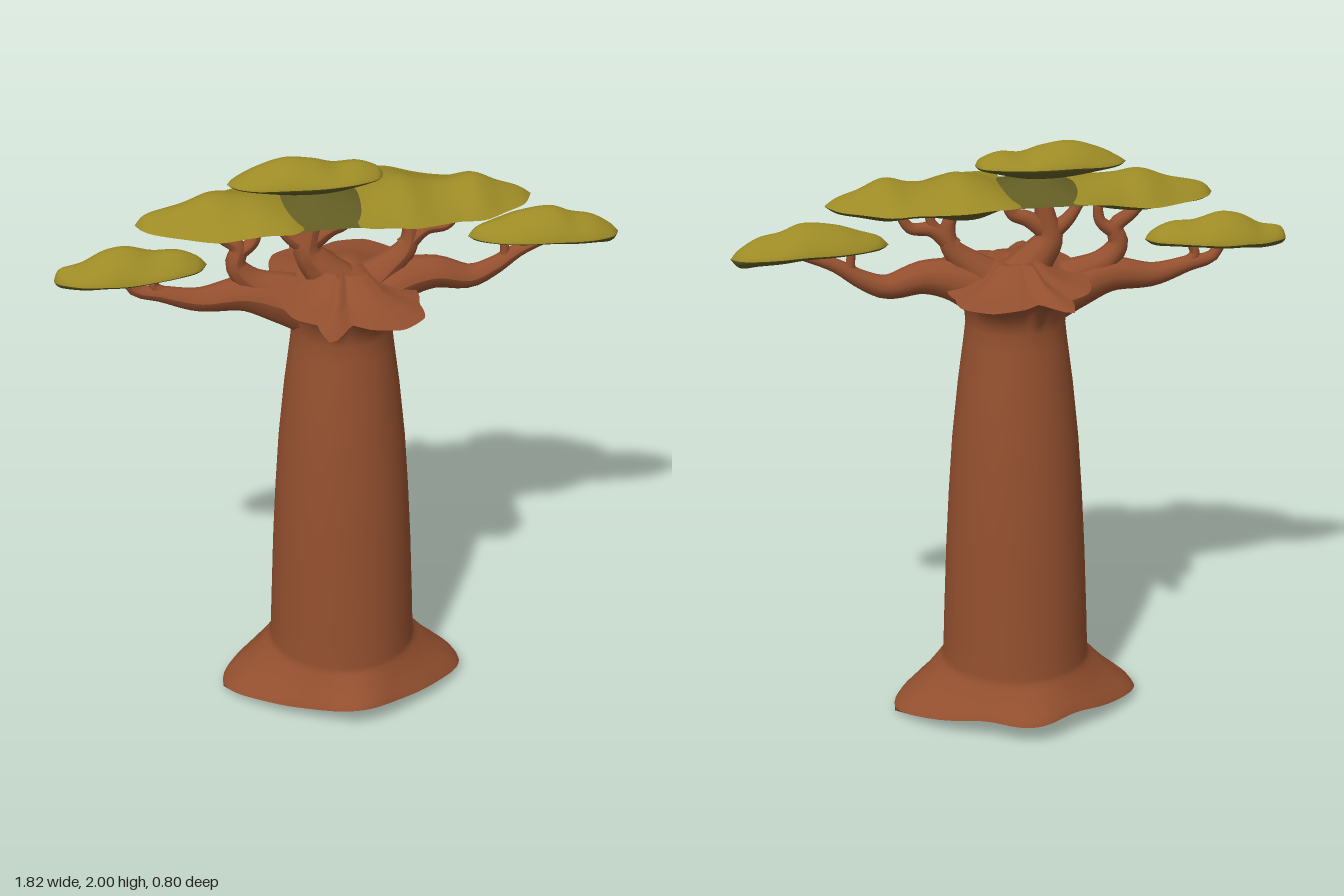
import * as THREE from 'three';

const { lerp } = THREE.MathUtils;
const mat = (name, color, side = THREE.FrontSide) => {
  const m = new THREE.MeshStandardMaterial({ color, side });
  m.name = name;
  return m;
};

// Surface through rows of points; closed rows wrap around
function skin(rows, closed, flip) {
  const n = rows[0].length, pos = rows.flat(2), index = [];
  for (let i = 0; i < rows.length - 1; i++) {
    for (let j = 0; j < (closed ? n : n - 1); j++) {
      const k = (j + 1) % n;
      const a = i * n + j, b = i * n + k, c = a + n, d = b + n;
      if (flip) index.push(a, c, b, b, c, d);
      else index.push(a, b, c, b, d, c);
    }
  }
  const g = new THREE.BufferGeometry();
  g.setAttribute('position', new THREE.Float32BufferAttribute(pos, 3));
  g.setIndex(index);
  g.computeVertexNormals();
  return g;
}

export function createModel() {
  const tree = new THREE.Group();
  tree.name = 'tree';
  const bark = mat('bark', 0x94502f);
  const leaf = mat('leafTop', 0x9c8a25);
  const shade = mat('leafUnderside', 0x625d23);
  const add = (name, geo, material, parent = tree) => {
    const m = new THREE.Mesh(geo, material);
    m.name = name;
    parent.add(m);
    return m;
  };

  // Ring around the trunk: f(angle) gives [x, y, z]
  const SEG = 120;
  const ring = (f) => Array.from({ length: SEG }, (_, i) => f((i / SEG) * Math.PI * 2));
  const polar = (r, y, t) => [r * Math.cos(t), y, r * Math.sin(t)];

  // Root flare: two long roots to the sides, broad lobes front and back
  const rootR = (t) => 0.325 + 0.115 * Math.abs(Math.cos(t)) ** 14 + 0.012 * Math.cos(6 * t + Math.PI);
  const rootY = (t) => 0.02 + 0.065 * Math.abs(Math.sin(t)) + 0.008 * Math.sin(5 * t) * Math.sin(t) ** 2;

  // Crown collar: pointed and rounded lobes, mirrored front to back
  const lobes = [[0, 0.22], [35, 0.27], [50, 0.34], [68, 0.365], [84, 0.33], [94, 0.29],
    [104, 0.425], [114, 0.31], [128, 0.305], [150, 0.25], [180, 0.22]];
  const collarR = (t) => {
    const d = THREE.MathUtils.radToDeg(Math.acos(THREE.MathUtils.clamp(Math.cos(t), -1, 1)));
    let i = 0;
    while (i < lobes.length - 2 && d > lobes[i + 1][0]) i++;
    const [a, ra] = lobes[i], [b, rb] = lobes[i + 1];
    return lerp(ra, rb, (d - a) / (b - a));
  };
  const collarY = (t) => 1.555 - 0.015 * Math.cos(t);

  // Underside keel
  const under = [0, 0.2, 0.4, 0.6, 0.8, 0.92, 1].map((s) => ring((t) => {
    const [x, y, z] = polar(rootR(t), rootY(t), t);
    return [x, y * (0.1 + 0.9 * s ** 1.6), z * s];
  }));
  add('rootUnderside', skin(under, true, true), bark);

  // Trunk from root rim to collar rim
  const trunk = [];
  for (const [k, h] of [[1, 0], [0.93, 0.1], [0.75, 0.26], [0.55, 0.42], [0.35, 0.62], [0.18, 0.8], [0.06, 0.93]]) {
    trunk.push(ring((t) => polar(lerp(0.25, rootR(t), k), lerp(rootY(t), 0.2, h), t)));
  }
  for (const [y, r] of [[0.21, 0.25], [0.3, 0.248], [0.6, 0.236], [0.8, 0.225], [1, 0.211],
    [1.2, 0.19], [1.35, 0.17], [1.41, 0.163]]) {
    trunk.push(ring((t) => polar(r, y, t)));
  }
  for (const [k, h] of [[0.04, 0.25], [0.14, 0.5], [0.28, 0.68], [0.5, 0.84], [0.75, 0.94], [1, 1]]) {
    trunk.push(ring((t) => polar(lerp(0.163, collarR(t), k), lerp(1.41, collarY(t), h), t)));
  }
  add('trunk', skin(trunk, true, true), bark);

  // Top of the collar
  const top = [[1, 0], [0.75, 0.012], [0.5, 0.03], [0.3, 0.07], [0.15, 0.06], [0, 0.05]].map(([s, up]) =>
    ring((t) => polar(collarR(t) * s, lerp(1.555, collarY(t), s) + up * (s > 0 ? 1 : 0.9), t)));
  add('crownTop', skin(top, true, true), bark);

  // Tapered branches: radii at both ends, then x, y points
  const branch = (name, r0, r1, pts) => {
    const path = new THREE.CatmullRomCurve3(pts.map(([x, y]) => new THREE.Vector3(x, y, 0)));
    const n = 24, m = 10;
    const g = new THREE.TubeGeometry(path, n, 1, m);
    const p = g.attributes.position, v = new THREE.Vector3();
    for (let i = 0; i <= n; i++) {
      const c = path.getPointAt(i / n);
      const r = lerp(r1, r0, (1 - i / n) ** 1.5);
      for (let j = 0; j <= m; j++) {
        const q = i * (m + 1) + j;
        v.fromBufferAttribute(p, q).sub(c).multiplyScalar(r).add(c);
        p.setXYZ(q, v.x, v.y, v.z);
      }
    }
    g.computeVertexNormals();
    add(name, g, bark);
  };
  branch('lowerLeftwardBranch', 0.1, 0.018, [[-0.08, 1.48], [-0.2, 1.52], [-0.31, 1.55], [-0.46, 1.54], [-0.58, 1.57], [-0.66, 1.59], [-0.69, 1.64]]);
  branch('lowerTwig', 0.022, 0.014, [[-0.56, 1.565], [-0.6, 1.6], [-0.58, 1.65]]);
  branch('upperBranch', 0.065, 0.018, [[-0.17, 1.54], [-0.29, 1.59], [-0.34, 1.65], [-0.33, 1.71], [-0.38, 1.75], [-0.43, 1.8]]);
  branch('upperTwig', 0.026, 0.015, [[-0.33, 1.69], [-0.28, 1.73], [-0.27, 1.8]]);
  branch('middleBranch', 0.085, 0.026, [[0.0, 1.54], [-0.07, 1.62], [-0.11, 1.68], [-0.1, 1.75], [-0.08, 1.85]]);
  branch('middleTwig', 0.035, 0.016, [[-0.1, 1.69], [-0.17, 1.74], [-0.22, 1.81]]);
  branch('middleTwig', 0.035, 0.018, [[-0.1, 1.71], [-0.04, 1.75], [0.01, 1.77], [0.03, 1.83]]);
  branch('upperBranch', 0.08, 0.018, [[0.05, 1.53], [0.14, 1.6], [0.21, 1.67], [0.22, 1.73], [0.19, 1.81]]);
  branch('upperTwig', 0.032, 0.016, [[0.2, 1.67], [0.27, 1.73], [0.34, 1.74], [0.38, 1.8]]);
  branch('upperTwig', 0.025, 0.014, [[0.22, 1.7], [0.27, 1.75], [0.28, 1.8]]);
  branch('lowerRightwardBranch', 0.09, 0.018, [[0.08, 1.5], [0.2, 1.56], [0.3, 1.575], [0.42, 1.55], [0.5, 1.58], [0.58, 1.63], [0.68, 1.67]]);
  branch('lowerTwig', 0.024, 0.014, [[0.47, 1.565], [0.53, 1.61], [0.53, 1.67]]);

  // Leaf pads: stations of [x, half width, bottom, edge, top]; power shapes the cross-section
  const pad = (name, stations, power, topMat = leaf) => {
    const group = new THREE.Group();
    group.name = name;
    tree.add(group);
    const track = (k) => new THREE.SplineCurve(stations.map((s) => new THREE.Vector2(s[0], s[k])));
    const [w, bottom, edge, crest] = [1, 2, 3, 4].map(track);
    const N = 48, M = 24;
    const sheet = (height) => Array.from({ length: N + 1 }, (_, i) => {
      const t = i / N, m = edge.getPoint(t), h = height.getPoint(t).y;
      const half = Math.max(0, w.getPoint(t).y);
      return Array.from({ length: M + 1 }, (_, j) => {
        const u = -Math.cos((j / M) * Math.PI);
        return [m.x, lerp(m.y, h, Math.max(0, 1 - Math.abs(u) ** 1.5) ** power), u * half];
      });
    });
    add('top', skin(sheet(crest), false, false), topMat, group);
    add('underside', skin(sheet(bottom), false, true), shade, group);
  };
  pad('lowerLeafPad', [[-0.91, 0, 1.64, 1.64, 1.64], [-0.89, 0.04, 1.62, 1.645, 1.68], [-0.82, 0.075, 1.612, 1.645, 1.695],
    [-0.75, 0.095, 1.618, 1.65, 1.73], [-0.68, 0.1, 1.62, 1.65, 1.74], [-0.6, 0.095, 1.63, 1.655, 1.718],
    [-0.52, 0.08, 1.635, 1.66, 1.715], [-0.46, 0.05, 1.64, 1.66, 1.69], [-0.43, 0, 1.66, 1.66, 1.66]], 0.7);
  pad('lowerLeafPad', [[0.41, 0, 1.69, 1.69, 1.69], [0.44, 0.04, 1.675, 1.69, 1.72], [0.5, 0.075, 1.67, 1.69, 1.74],
    [0.58, 0.095, 1.665, 1.69, 1.765], [0.68, 0.1, 1.66, 1.69, 1.775], [0.75, 0.095, 1.65, 1.685, 1.75],
    [0.82, 0.08, 1.645, 1.68, 1.735], [0.88, 0.05, 1.64, 1.675, 1.7], [0.91, 0, 1.67, 1.67, 1.67]], 0.7);
  pad('wideLeafPad', [[-0.65, 0, 1.81, 1.81, 1.81], [-0.61, 0.07, 1.785, 1.81, 1.845], [-0.5, 0.135, 1.775, 1.81, 1.87],
    [-0.41, 0.185, 1.765, 1.815, 1.9], [-0.33, 0.195, 1.77, 1.825, 1.89], [-0.26, 0.215, 1.785, 1.84, 1.88],
    [-0.19, 0.24, 1.815, 1.85, 1.862], [-0.15, 0.2, 1.84, 1.845, 1.85]], 1.3);
  pad('wideLeafPad', [[0.02, 0.21, 1.84, 1.845, 1.85], [0.06, 0.24, 1.8, 1.85, 1.87], [0.12, 0.245, 1.765, 1.85, 1.895],
    [0.19, 0.25, 1.76, 1.845, 1.91], [0.27, 0.215, 1.775, 1.835, 1.89], [0.34, 0.19, 1.775, 1.83, 1.89],
    [0.42, 0.18, 1.77, 1.825, 1.908], [0.5, 0.13, 1.785, 1.825, 1.875], [0.57, 0.08, 1.8, 1.825, 1.85], [0.61, 0, 1.825, 1.825, 1.825]], 1.3);
  pad('topLeafPad', [[-0.36, 0, 1.925, 1.925, 1.925], [-0.33, 0.045, 1.91, 1.925, 1.945], [-0.27, 0.075, 1.9, 1.925, 1.975],
    [-0.18, 0.095, 1.885, 1.93, 2.0], [-0.09, 0.1, 1.88, 1.93, 1.99], [-0.02, 0.095, 1.885, 1.93, 1.97],
    [0.05, 0.08, 1.9, 1.93, 1.975], [0.11, 0.05, 1.915, 1.93, 1.955], [0.13, 0, 1.93, 1.93, 1.93]], 0.7);

  // Dark inner foliage bridging the wide pads
  pad('innerLeafPad', [[-0.27, 0.1, 1.825, 1.84, 1.845], [-0.2, 0.2, 1.82, 1.84, 1.86], [-0.1, 0.2, 1.82, 1.84, 1.89],
    [0.0, 0.2, 1.82, 1.84, 1.88], [0.07, 0.2, 1.82, 1.84, 1.86], [0.12, 0.1, 1.825, 1.84, 1.845]], 1.2, shade);

  return tree;
}
